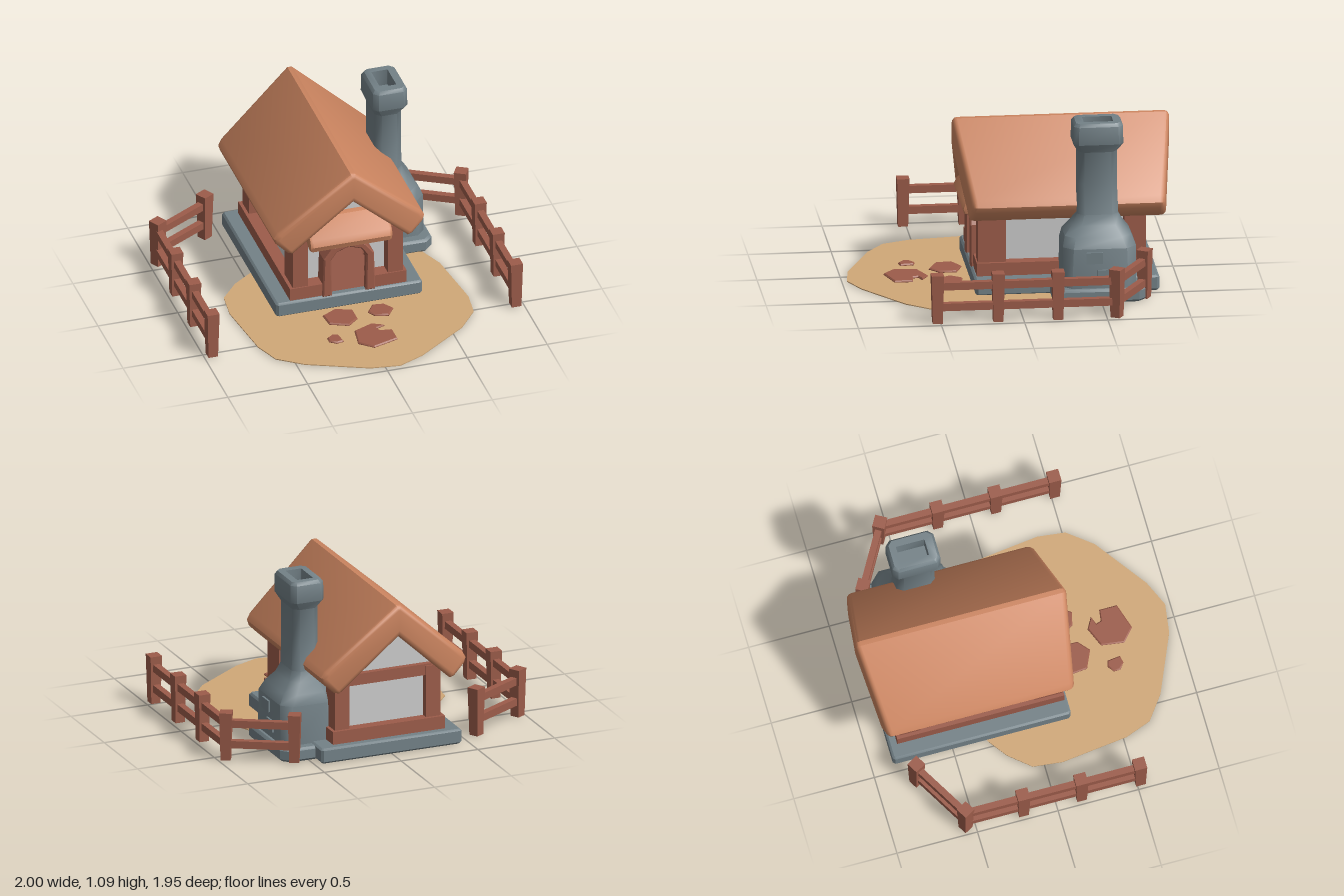
import * as THREE from 'three';
import { toCreasedNormals } from 'three/addons/utils/BufferGeometryUtils.js';

const mat = (color) => new THREE.MeshStandardMaterial({ color });
const ROOF = mat(0xcc8560), WOOD = mat(0x9c5c4a), STONE = mat(0x738187);
const EARTH = mat(0xd0a878), WALL = mat(0xcccccc);

const shapeOf = (pts) => new THREE.Shape(pts.map(([x, y]) => new THREE.Vector2(x, y)));

// Extrudes a shape from z0 to z1 with a rounded bevel kept inside the outline
function extrude(shape, z0, z1, bevel = 0, segments = 2) {
  const g = new THREE.ExtrudeGeometry(shape, {
    depth: z1 - z0 - 2 * bevel, bevelEnabled: bevel > 0, bevelSize: bevel,
    bevelThickness: bevel, bevelOffset: -bevel, bevelSegments: segments,
  });
  return g.translate(0, 0, z0 + bevel);
}

// Horizontal slab from an outline of [x, z] points
const slab = (pts, y0, y1, bevel = 0) =>
  extrude(shapeOf(pts.map(([x, z]) => [x, -z])), y0, y1, bevel, 1).rotateX(-Math.PI / 2);

// Rectangle with cut corners, as [x, z] points
const cutRect = (x0, x1, z0, z1, c) => [
  [x1, z0 + c], [x1, z1 - c], [x1 - c, z1], [x0 + c, z1],
  [x0, z1 - c], [x0, z0 + c], [x0 + c, z0], [x1 - c, z0]];

// Skins rings of equal length, lowest first, and closes the last one
function loft(levels) {
  const pos = [], idx = [], n = 8;
  levels.forEach(([y, x0, x1, z0, z1, c]) =>
    cutRect(x0, x1, z0, z1, c).forEach(([x, z]) => pos.push(x, y, z)));
  for (let r = 0; r < levels.length - 1; r++) {
    for (let i = 0; i < n; i++) {
      const a = r * n + i, b = r * n + (i + 1) % n;
      idx.push(a, a + n, b, b, a + n, b + n);
    }
  }
  const s = (levels.length - 1) * n;
  for (let i = 1; i < n - 1; i++) idx.push(s, s + i + 1, s + i);
  const g = new THREE.BufferGeometry();
  g.setAttribute('position', new THREE.Float32BufferAttribute(pos, 3));
  g.setIndex(idx);
  return g;
}

export function createModel() {
  const root = new THREE.Group();
  const add = (name, geo, material, parent = root, crease = 0.7) => {
    const m = new THREE.Mesh(toCreasedNormals(geo, crease), material);
    m.name = name;
    parent.add(m);
    return m;
  };
  // Box given by its limits
  const box = (name, x0, x1, y0, y1, z0, z1, material, parent) => add(name,
    new THREE.BoxGeometry(x1 - x0, y1 - y0, z1 - z0)
      .translate((x0 + x1) / 2, (y0 + y1) / 2, (z0 + z1) / 2), material, parent);

  // Ground patch and stepping stones
  add('ground', slab([[-0.47, -0.28], [-0.58, -0.2], [-0.69, -0.07], [-0.71, 0.11], [-0.66, 0.52],
    [-0.6, 0.68], [-0.45, 0.79], [-0.09, 0.945], [0.09, 0.97], [0.25, 0.9], [0.57, 0.67],
    [0.69, 0.52], [0.71, 0.35], [0.66, -0.06], [0.6, -0.21], [0.42, -0.36], [0.12, -0.44],
    [-0.22, -0.41]], 0, 0.006), EARTH);
  [
    [[-0.19, 0.31], [-0.18, 0.41], [-0.07, 0.46], [0, 0.4], [0, 0.3], [-0.1, 0.26]],
    [[0.08, 0.35], [0.11, 0.4], [0.19, 0.42], [0.24, 0.35], [0.2, 0.29], [0.13, 0.28]],
    [[-0.24, 0.56], [-0.24, 0.6], [-0.2, 0.63], [-0.155, 0.62], [-0.165, 0.54], [-0.2, 0.53]],
    [[-0.06, 0.53], [0.06, 0.48], [0.13, 0.52], [0.08, 0.54], [0.09, 0.57], [0.16, 0.58],
      [0.16, 0.69], [0, 0.74], [-0.08, 0.67]],
  ].forEach((p) => add('steppingStone', slab(p, 0, 0.018, 0.007), WOOD));

  // Stone footing
  add('plinth', slab(cutRect(-0.455, 0.46, -0.87, 0.235, 0.015), 0, 0.095, 0.012), STONE);
  add('chimneyFooting', slab(cutRect(0.3, 0.67, -0.775, -0.21, 0.05), 0, 0.085, 0.015), STONE);

  // Walls with both gables in one prism
  add('walls', extrude(shapeOf([[-0.29, 0.09], [0.29, 0.09], [0.29, 0.53], [0, 0.82],
    [-0.29, 0.53]]), -0.755, 0.13), WALL);

  // Timber frame
  const frame = new THREE.Group();
  frame.name = 'timberFrame';
  root.add(frame);
  for (const s of [-1, 1]) {
    const [a, b] = s > 0 ? [0.25, 0.345] : [-0.345, -0.25];
    box('frontPost', a, b, 0.15, 0.5, 0.04, 0.21, WOOD, frame);
    box('backPost', a, b, 0.15, 0.5, -0.8, -0.67, WOOD, frame);
    const [c, d] = s > 0 ? [0.27, 0.365] : [-0.365, -0.27];
    box('sideSill', c, d, 0.09, 0.175, -0.82, 0.218, WOOD, frame);
    const [e, f] = s > 0 ? [0.13, 0.3] : [-0.3, -0.13];
    box('frontSill', e, f, 0.09, 0.175, 0.1, 0.218, WOOD, frame);
  }
  box('backSill', -0.3, 0.3, 0.09, 0.175, -0.82, -0.74, WOOD, frame);
  box('backBeam', -0.3, 0.3, 0.44, 0.51, -0.79, -0.74, WOOD, frame);
  box('frontBeam', -0.3, 0.3, 0.44, 0.51, 0.1, 0.17, WOOD, frame);

  // Main roof: thick chevron whose ends rake back towards the eaves
  const roof = extrude(shapeOf([[0.015, 0.978], [0.45, 0.595], [0.472, 0.555], [0.46, 0.52],
    [0.39, 0.452], [0.36, 0.445], [0, 0.78], [-0.36, 0.445], [-0.39, 0.452], [-0.46, 0.52],
    [-0.472, 0.555], [-0.45, 0.595], [-0.015, 0.978]]), -0.978, 0.33, 0.03, 3);
  const p = roof.attributes.position;
  for (let i = 0; i < p.count; i++) {
    const z = p.getZ(i);
    p.setZ(i, z + Math.abs(p.getX(i)) * (z > -0.3 ? -0.17 : 0.16));
  }
  add('roof', roof, ROOF);

  // Small sloping roof above the door
  add('porchRoof', extrude(shapeOf([[-0.1, 0.62], [-0.17, 0.618], [-0.275, 0.525], [-0.292, 0.485],
    [-0.28, 0.45], [-0.25, 0.445], [-0.1, 0.53]]), -0.26, 0.26, 0.02).rotateY(Math.PI / 2), ROOF);

  // Arched door frame and plank door
  const door = new THREE.Group();
  door.name = 'door';
  root.add(door);
  const arch = shapeOf([[-0.165, 0.09], [-0.105, 0.09], [-0.11, 0.34], [-0.075, 0.39], [0, 0.415],
    [0.075, 0.39], [0.11, 0.34], [0.105, 0.09], [0.165, 0.09], [0.157, 0.35], [0.1, 0.425],
    [0, 0.447], [-0.1, 0.425], [-0.157, 0.35]]);
  add('doorFrame', extrude(arch, 0.1, 0.235, 0.008, 1), WOOD, door, 0.4);
  add('doorPanel', extrude(shapeOf([[-0.115, 0.09], [0.115, 0.09], [0.12, 0.35], [0.08, 0.4],
    [0, 0.42], [-0.08, 0.4], [-0.12, 0.35]]), 0.1, 0.175), WOOD, door);
  for (let i = 0; i < 4; i++) {
    const plank = add('doorPlank', new THREE.BoxGeometry(i === 3 ? 0.19 : 0.225, 0.066, 0.025), WOOD, door);
    plank.position.set(0, 0.13 + i * 0.073, 0.18);
    plank.rotation.x = -0.2;
  }

  // Chimney: wide hearth, narrow neck and hollow cap
  add('chimney', loft([
    [0.07, 0.3, 0.64, -0.715, -0.275, 0.05],
    [0.33, 0.3, 0.64, -0.715, -0.275, 0.06],
    [0.39, 0.31, 0.605, -0.69, -0.29, 0.06],
    [0.45, 0.34, 0.555, -0.645, -0.34, 0.05],
    [0.51, 0.355, 0.53, -0.618, -0.37, 0.04],
    [0.7, 0.36, 0.525, -0.61, -0.375, 0.035],
    [0.9, 0.36, 0.525, -0.61, -0.375, 0.035],
    [0.955, 0.338, 0.555, -0.645, -0.345, 0.03],
    [1.065, 0.34, 0.553, -0.643, -0.347, 0.03],
    [1.085, 0.355, 0.54, -0.628, -0.362, 0.025],
    [1.085, 0.395, 0.497, -0.587, -0.41, 0.004],
    [0.98, 0.395, 0.497, -0.587, -0.41, 0.004],
  ]), STONE, root, 0.85);
  box('chimneyBrick', 0.62, 0.652, 0.24, 0.31, -0.51, -0.41, STONE);
  box('chimneyBrick', 0.62, 0.652, 0.13, 0.2, -0.565, -0.475, STONE);

  // Fences, one each side, turning inwards at the back
  const stops = [[0.95, 0.52, 0], [0.95, 0.155, 0], [0.95, -0.205, 0], [0.95, -0.56, 0.52], [0.592, -0.765, 0.52]];
  const postGeo = new THREE.CylinderGeometry(0.053, 0.042, 0.3, 4, 1).rotateY(Math.PI / 4);
  for (const s of [-1, 1]) {
    const fence = new THREE.Group();
    fence.name = s > 0 ? 'leftFence' : 'rightFence';
    root.add(fence);
    stops.forEach(([x, z, turn], i) => {
      const post = add('fencePost', postGeo, WOOD, fence);
      post.position.set(s * x, 0.155, z);
      post.rotation.y = -s * turn;
      if (i === 0) return;
      const [px, pz] = stops[i - 1];
      for (const y of [0.103, 0.233]) {
        const rail = add('fenceRail', new THREE.BoxGeometry(0.04, 0.046, Math.hypot(x - px, z - pz)), WOOD, fence);
        rail.position.set(s * (x + px) / 2, y, (z + pz) / 2);
        rail.rotation.y = Math.atan2(s * (x - px), z - pz);
      }
    });
  }
  return root;
}
